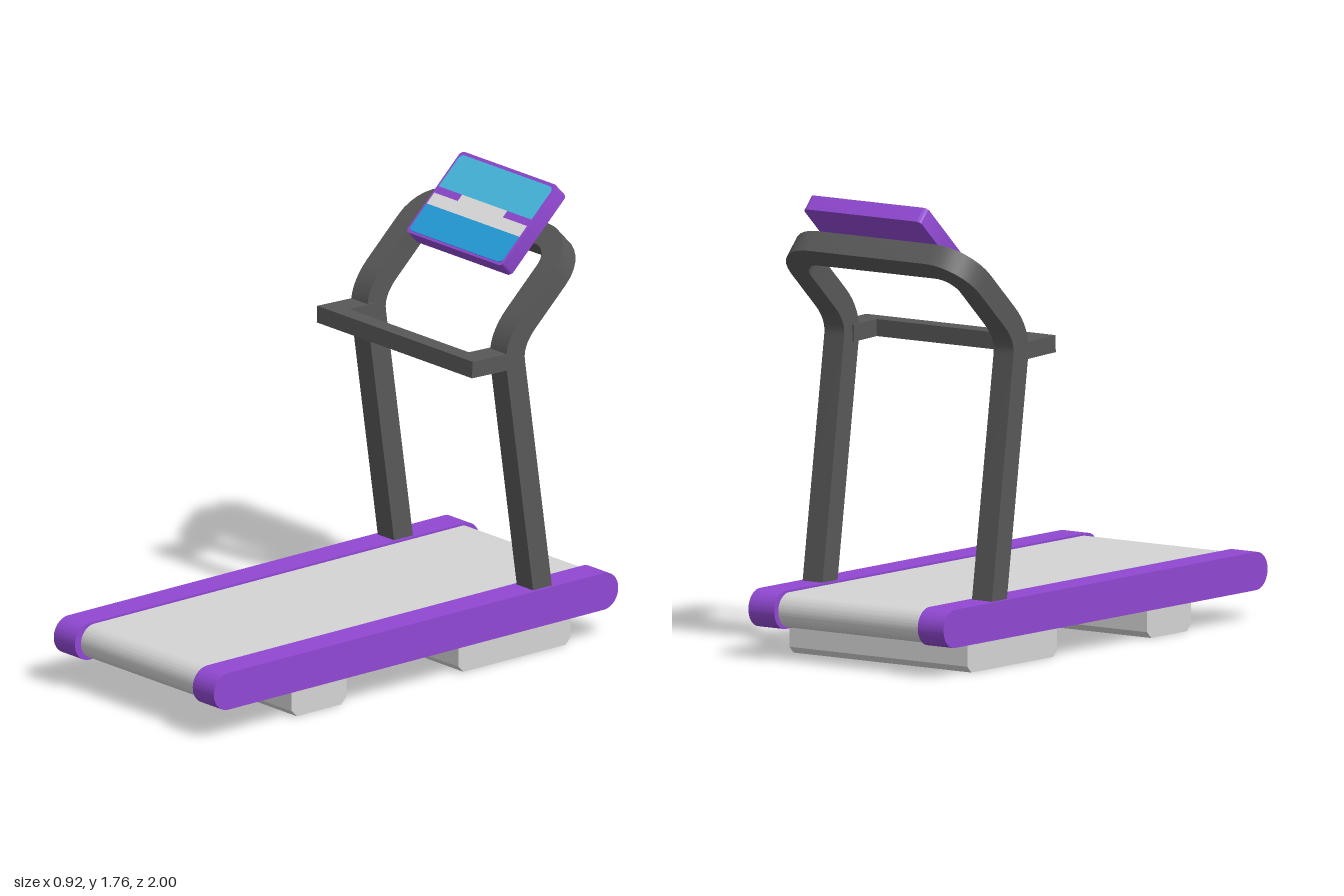
import * as THREE from 'three';
import { toCreasedNormals } from 'three/addons/utils/BufferGeometryUtils.js';

const TILT = 0.82; // lean of the console and upper frame

export function createModel() {
  const model = new THREE.Group();
  const mat = (name, color) => new THREE.MeshStandardMaterial({ name, color });
  const purple = mat('purple', 0x9048d2);
  const grey = mat('lightGrey', 0xd4d4d4);
  const dark = mat('darkGrey', 0x585858);
  const cyan = mat('screenCyan', 0x47bbe2);
  const blue = mat('screenBlue', 0x25a0de);
  const white = mat('screenWhite', 0xe2e2e2);

  const add = (name, geometry, material, parent = model) => {
    const mesh = new THREE.Mesh(geometry, material);
    mesh.name = name;
    parent.add(mesh);
    return mesh;
  };

  // Rectangle with separate radii for the bottom and top corners
  const roundRect = (x0, y0, x1, y1, rb, rt = rb) => {
    const s = new THREE.Shape();
    s.moveTo(x0 + rb, y0).lineTo(x1 - rb, y0);
    if (rb) s.absarc(x1 - rb, y0 + rb, rb, -Math.PI / 2, 0);
    s.lineTo(x1, y1 - rt);
    if (rt) s.absarc(x1 - rt, y1 - rt, rt, 0, Math.PI / 2);
    s.lineTo(x0 + rt, y1);
    if (rt) s.absarc(x0 + rt, y1 - rt, rt, Math.PI / 2, Math.PI);
    s.lineTo(x0, y0 + rb);
    if (rb) s.absarc(x0 + rb, y0 + rb, rb, Math.PI, Math.PI * 1.5);
    return s;
  };

  const extrude = (shape, depth) => toCreasedNormals(
    new THREE.ExtrudeGeometry(shape, { depth, bevelEnabled: false, curveSegments: 10 })
      .translate(0, 0, -depth / 2), 0.6);

  // Side profile (z, y) extruded across x
  const across = (shape, width) => extrude(shape, width).rotateY(-Math.PI / 2);

  // Running deck
  for (const side of [1, -1]) {
    add(side > 0 ? 'leftRail' : 'rightRail',
      across(roundRect(-1, 0.115, 1, 0.26, 0.072), 0.122), purple).position.x = side * 0.4;
  }
  add('belt', across(roundRect(-0.975, 0.12, 0.97, 0.252, 0.065), 0.68), grey);

  // Feet with chamfered lower edges
  const foot = (name, z0, z1) => {
    const c = 0.025;
    const s = new THREE.Shape();
    s.moveTo(z0 + c, 0).lineTo(z1 - c, 0).lineTo(z1, c).lineTo(z1, 0.125)
      .lineTo(z0, 0.125).lineTo(z0, c);
    add(name, across(s, 0.84), grey);
  };
  foot('frontFoot', 0.31, 0.58);
  foot('rearFoot', -0.8, -0.245);

  // Bent hoop frame: rectangular section swept up one post, over and down
  const V = (z, y) => new THREE.Vector2(z, y);
  const up = V(-Math.sin(TILT), Math.cos(TILT));
  const top = V(-0.848, 1.583);
  const onTop = d => top.clone().addScaledVector(up, d);
  const half = 0.046, xo = 0.447, xi = 0.353, R = 0.17, r = R - (xo - xi);

  const corner = (x, p, t, f) => new THREE.Vector3(x, p.y - t.x * f, p.x + t.y * f);
  const station = (x1, p1, x2, p2, t) => [
    corner(x1, p1, t, half), corner(x1, p1, t, -half),
    corner(x2, p2, t, -half), corner(x2, p2, t, half),
  ];
  const bend = new THREE.QuadraticBezierCurve(V(-0.505, 1.17), V(-0.492, 1.251), V(-0.572, 1.326));
  const stations = [];
  const foot0 = V(-0.646, 0.2);
  const postDir = bend.getTangent(0);
  stations.push(station(xo, foot0, xi, foot0, postDir));
  for (let i = 0; i <= 8; i++) {
    const p = bend.getPoint(i / 8);
    stations.push(station(xo, p, xi, p, bend.getTangent(i / 8)));
  }
  for (let i = 0; i <= 8; i++) {
    const a = (i / 8) * Math.PI / 2, cx = xo - R;
    stations.push(station(
      cx + R * Math.cos(a), onTop(-R + R * Math.sin(a)),
      cx + r * Math.cos(a), onTop(-R + r * Math.sin(a)), up));
  }
  const mirrored = stations.map(s => s.map(v => new THREE.Vector3(-v.x, v.y, v.z))).reverse();
  const path = [...stations, ...mirrored];
  const points = [];
  for (let i = 0; i < path.length - 1; i++) {
    for (let k = 0; k < 4; k++) {
      const n = (k + 1) % 4;
      const a = path[i][k], b = path[i][n], c = path[i + 1][n], d = path[i + 1][k];
      points.push(a, b, c, a, c, d);
    }
  }
  const hoop = new THREE.BufferGeometry().setFromPoints(points);
  add('uprightFrame', toCreasedNormals(hoop, 0.5), dark);

  // U-shaped handlebar, drawn from above and laid flat
  const bar = new THREE.Shape();
  bar.moveTo(-0.447, 0).lineTo(0.447, 0).lineTo(0.447, 0.21).lineTo(0.345, 0.21)
    .lineTo(0.345, 0.07).lineTo(-0.345, 0.07).lineTo(-0.345, 0.21).lineTo(-0.447, 0.21);
  const handle = add('handlebar', extrude(bar, 0.065), dark);
  handle.rotation.x = -Math.PI / 2 - 0.035;
  handle.position.set(0, 1.193, -0.29);

  // Tilted console
  const panel = new THREE.Group();
  panel.name = 'console';
  panel.position.set(0, 1.605, -0.743);
  panel.rotation.x = -TILT;
  model.add(panel);
  add('consoleBody', extrude(roundRect(-0.278, -0.19, 0.278, 0.19, 0.02), 0.065), purple, panel);

  // Display plates
  const plate = (name, material, shape, z = 0.0345) => {
    add(name, extrude(shape, 0.004), material, panel).position.z = z;
  };
  plate('upperScreen', cyan, roundRect(-0.265, 0.024, 0.265, 0.175, 0, 0.02));
  plate('lowerScreen', blue, roundRect(-0.265, -0.18, 0.265, -0.057, 0.02, 0));
  plate('screenBand', white, roundRect(-0.265, -0.057, 0.265, -0.006, 0));
  plate('screenBandCentre', white, roundRect(-0.13, -0.006, 0.13, 0.024, 0));
  for (const side of [1, -1]) {
    const x = side * 0.1975;
    plate('screenAccent', purple, roundRect(x - 0.0675, -0.006, x + 0.0675, 0.024, 0));
  }

  return model;
}
